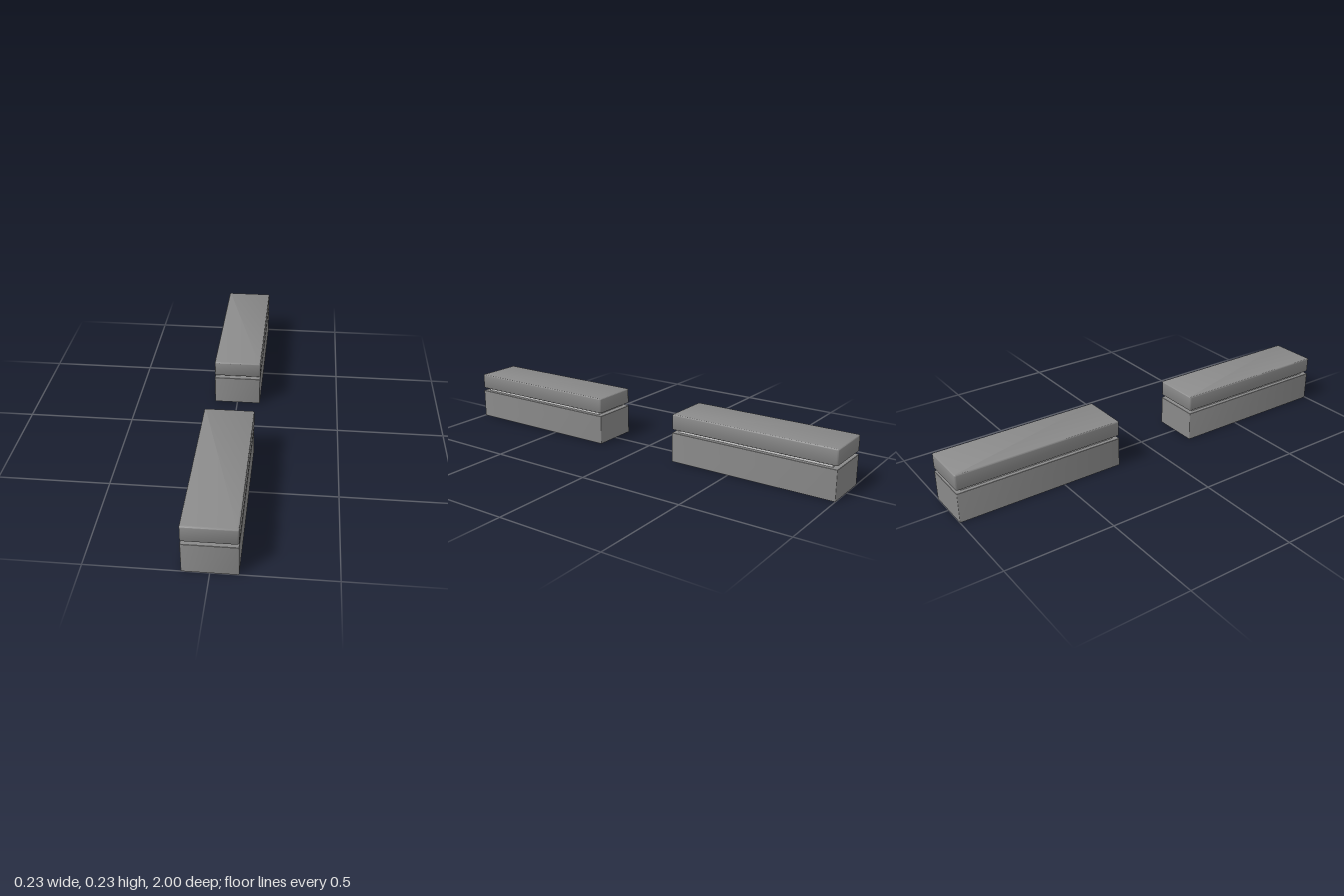
import * as THREE from 'three';
import { toCreasedNormals } from 'three/addons/utils/BufferGeometryUtils.js';

const HALF_W = 0.113, HALF_L = 0.3975, CENTRE_Z = 0.6025;
const CORNER_STEPS = 4;

// Corner-rounded rectangle, counter-clockwise when seen from above
function ring(inset, y, radius) {
  const r = Math.max(radius - inset, 0.001);
  const cx = HALF_W - inset - r, cz = HALF_L - inset - r;
  const points = [];
  [[1, 1], [1, -1], [-1, -1], [-1, 1]].forEach(([sx, sz], q) => {
    for (let i = 0; i <= CORNER_STEPS; i++) {
      const a = (q + i / CORNER_STEPS) * Math.PI / 2;
      points.push([sx * cx + Math.sin(a) * r, y, sz * cz + Math.cos(a) * r]);
    }
  });
  return points;
}

// Closed block through a list of [inset, height] levels
function block(levels, radius) {
  const rings = levels.map(([inset, y]) => ring(inset, y, radius));
  const n = rings[0].length, last = rings.length - 1;
  const index = [];
  for (let k = 0; k < last; k++) {
    for (let i = 0; i < n; i++) {
      const j = (i + 1) % n;
      const a = k * n + i, b = k * n + j, c = a + n, d = b + n;
      index.push(a, b, d, a, d, c);
    }
  }
  for (let i = 1; i < n - 1; i++) {
    index.push(0, i + 1, i);
    index.push(last * n, last * n + i, last * n + i + 1);
  }
  const geometry = new THREE.BufferGeometry();
  geometry.setAttribute('position', new THREE.Float32BufferAttribute(rings.flat(2), 3));
  geometry.setIndex(index);
  return toCreasedNormals(geometry, Math.PI / 5);
}

export function createModel() {
  const model = new THREE.Group();
  model.name = 'pairOfBlocks';
  const dark = new THREE.MeshStandardMaterial({ color: 0x8a8a8a });
  const light = new THREE.MeshStandardMaterial({ color: 0xcccccc });

  // Lid edges: a small round below, a larger one above
  const lidLevels = [[0.003, 0.153], [0.001, 0.154], [0, 0.156]];
  for (let i = 0; i <= 4; i++) {
    const a = i / 4 * Math.PI / 2;
    lidLevels.push([0.007 * (1 - Math.cos(a)), 0.219 + 0.007 * Math.sin(a)]);
  }
  const parts = [
    ['base', block([[0, 0], [0, 0.137], [0.001, 0.138]], 0.005), dark],
    ['recessedNeck', new THREE.BoxGeometry(0.188, 0.019, 0.74).translate(0, 0.1455, 0), light],
    ['lid', block(lidLevels, 0.008), dark],
  ];

  // The same three-part block at the front and at the back
  for (const side of [1, -1]) {
    const unit = new THREE.Group();
    unit.name = side > 0 ? 'frontBlock' : 'backBlock';
    unit.position.z = side * CENTRE_Z;
    for (const [name, geometry, material] of parts) {
      const mesh = new THREE.Mesh(geometry, material);
      mesh.name = name;
      unit.add(mesh);
    }
    model.add(unit);
  }
  return model;
}
